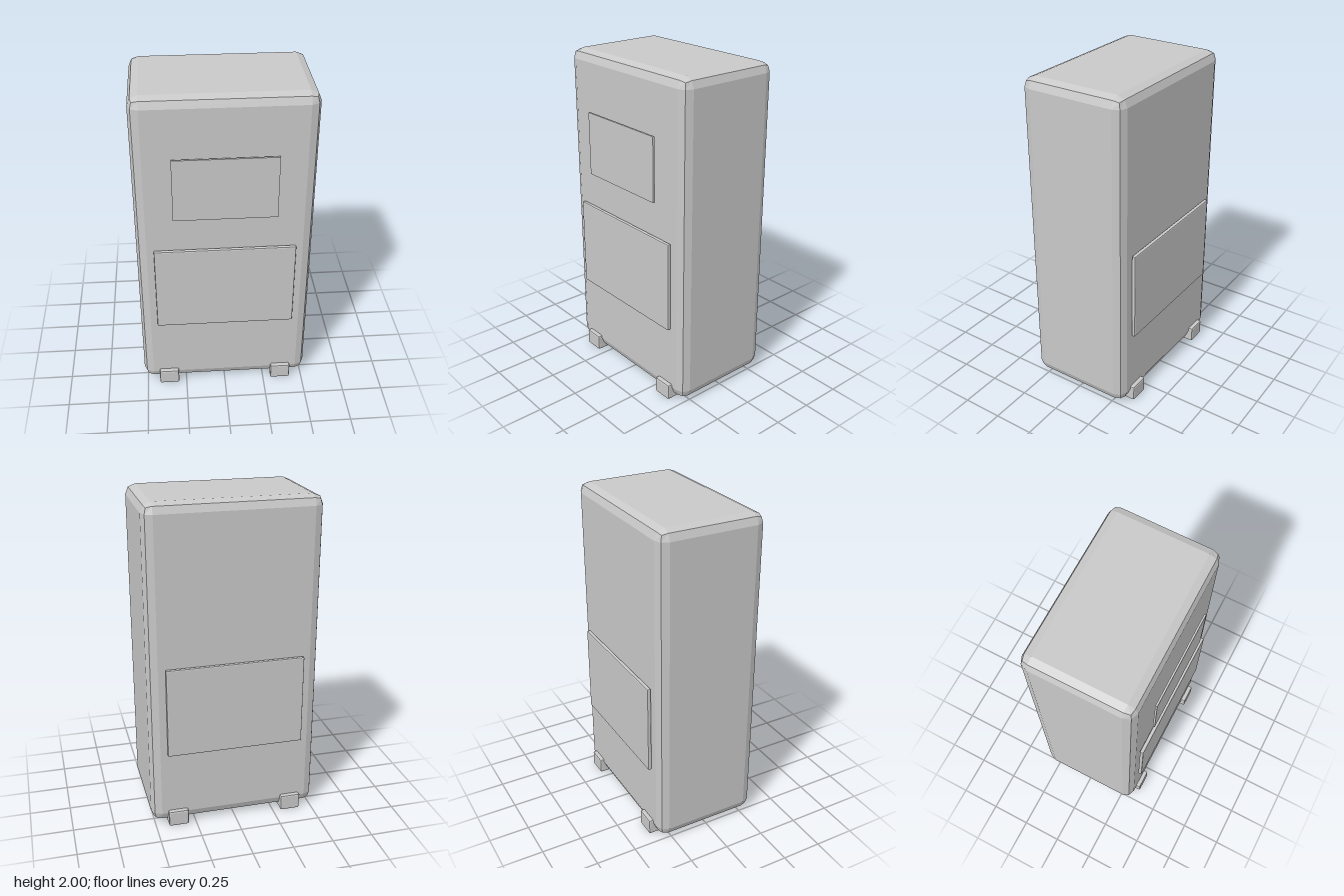
import * as THREE from 'three';
import { RoundedBoxGeometry } from 'three/addons/geometries/RoundedBoxGeometry.js';

export function createModel() {
  const model = new THREE.Group();
  const grey = new THREE.MeshStandardMaterial({ color: 0xc8c8c8, flatShading: true });
  grey.name = 'light grey';

  // Box given by its [min, max] on each axis, with a two-facet bevel
  function block(name, [x0, x1], [y0, y1], [z0, z1], bevel) {
    const size = [x1 - x0, y1 - y0, z1 - z0];
    const geometry = bevel
      ? new RoundedBoxGeometry(...size, 1, bevel)
      : new THREE.BoxGeometry(...size);
    const mesh = new THREE.Mesh(geometry, grey);
    mesh.name = name;
    mesh.position.set((x0 + x1) / 2, (y0 + y1) / 2, (z0 + z1) / 2);
    model.add(mesh);
  }

  // Cabinet
  block('cabinet', [-0.52, 0.52], [0.02, 2], [-0.333, 0.325], 0.06);

  // Lower panels, front and back
  block('frontPanel', [-0.418, 0.418], [0.488, 1.045], [0.329, 0.353], 0.007);
  block('backPanel', [-0.418, 0.418], [0.488, 1.045], [-0.36, -0.336], 0.007);

  // Thin screen standing just off the front
  block('screen', [-0.3, 0.3], [1.265, 1.652], [0.348, 0.36], 0);

  // Skids running under the cabinet, their ends rising at front and back
  for (const side of [-1, 1]) {
    const x = side * 0.36;
    block(side > 0 ? 'leftSkid' : 'rightSkid', [x - 0.062, x + 0.062], [0, 0.1], [-0.36, 0.353], 0.01);
  }

  return model;
}
